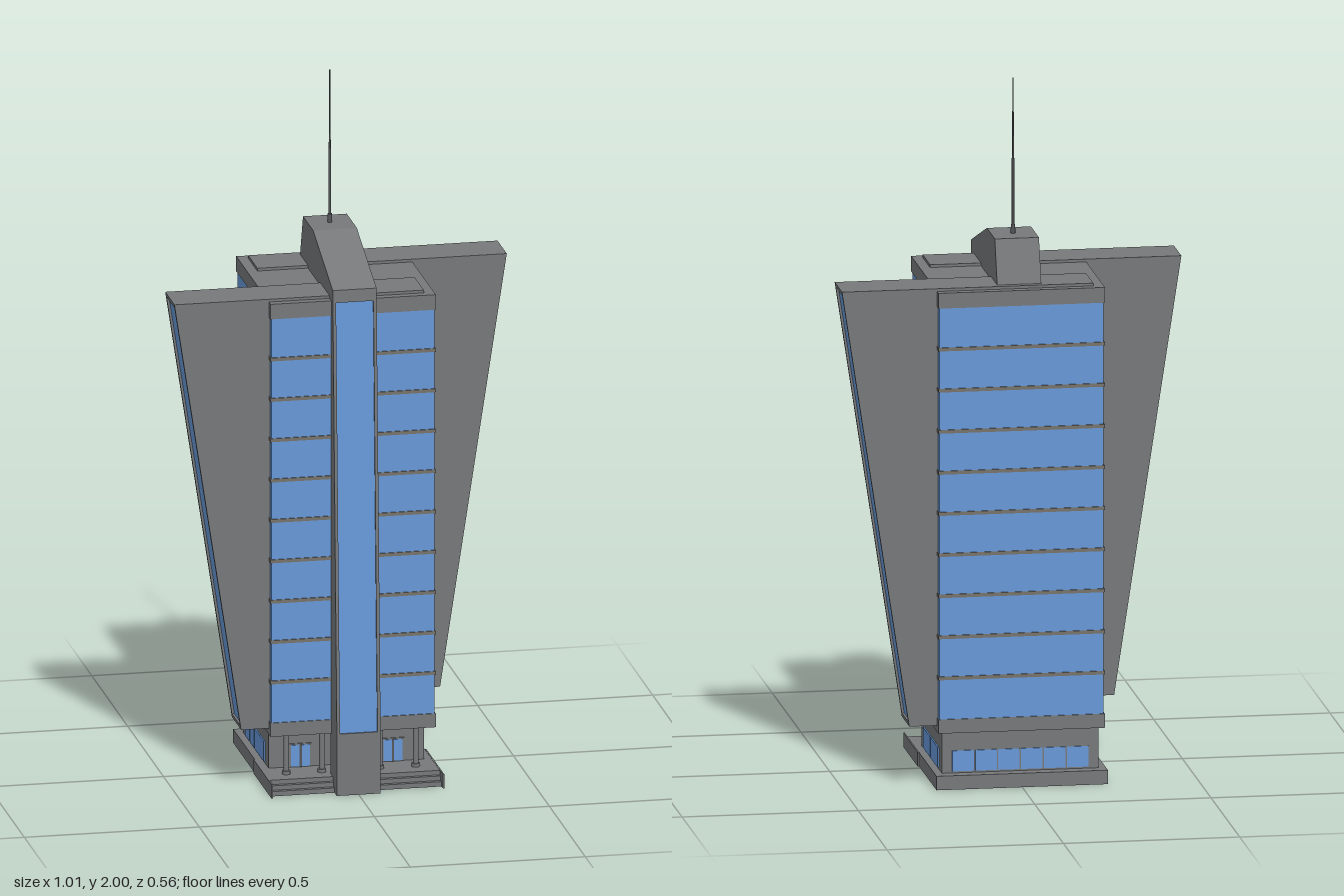
import * as THREE from 'three';

export function createModel() {
  const model = new THREE.Group();
  const mat = (name, color) => {
    const m = new THREE.MeshStandardMaterial({ color });
    m.name = name;
    return m;
  };
  const concrete = mat('concrete grey', 0x76787a);
  const glass = mat('window blue', 0x6798d8);
  const trim = mat('floor trim', 0x77736c);
  const metal = mat('dark metal', 0x55575a);

  const add = (parent, name, geometry, material) => {
    const mesh = new THREE.Mesh(geometry, material);
    mesh.name = name;
    parent.add(mesh);
    return mesh;
  };
  // Box given by its limits on each axis
  const box = (name, [x0, x1], [y0, y1], [z0, z1], material, parent = model) => {
    const mesh = add(parent, name, new THREE.BoxGeometry(x1 - x0, y1 - y0, z1 - z0), material);
    mesh.position.set((x0 + x1) / 2, (y0 + y1) / 2, (z0 + z1) / 2);
    return mesh;
  };
  // Outline in the xy plane, extruded from z0 to z1
  const slab = (name, points, z0, z1, material, parent) => {
    const shape = new THREE.Shape(points.map(([x, y]) => new THREE.Vector2(x, y)));
    const geometry = new THREE.ExtrudeGeometry(shape, { depth: z1 - z0, bevelEnabled: false });
    geometry.translate(0, 0, z0);
    return add(parent, name, geometry, material);
  };

  // Plinth with front steps and cheek walls
  box('plinth', [-0.243, 0.243], [0, 0.04], [-0.283, 0.226], concrete);
  box('upperStep', [-0.243, 0.243], [0, 0.027], [0.226, 0.238], concrete);
  box('lowerStep', [-0.243, 0.243], [0, 0.014], [0.238, 0.25], concrete);
  for (const s of [-1, 1]) {
    box('stepCheek', [s * 0.245 - 0.002, s * 0.245 + 0.002], [0, 0.041], [0.02, 0.27], concrete);
  }

  // Lobby with ribbon windows, entrance doors and porch columns
  box('lobby', [-0.222, 0.222], [0.04, 0.165], [-0.248, 0.11], concrete);
  for (const s of [-1, 1]) {
    for (let i = 0; i < 4; i++) {
      const z = -0.2 + i * 0.065;
      box('sideWindow', [s * 0.223 - 0.003, s * 0.223 + 0.003], [0.045, 0.104], [z + 0.002, z + 0.063], glass);
    }
    box('doorFrame', [s * 0.132 - 0.034, s * 0.132 + 0.034], [0.04, 0.108], [0.108, 0.113], concrete);
    for (const d of [-1, 1]) {
      const x = s * 0.132 + d * 0.015;
      box('doorPane', [x - 0.012, x + 0.012], [0.042, 0.104], [0.112, 0.115], glass);
    }
    box('doorPost', [s * 0.132 - 0.003, s * 0.132 + 0.003], [0.04, 0.104], [0.112, 0.117], metal);
    for (const x of [0.083, 0.185]) {
      add(model, 'porchColumn', new THREE.CylinderGeometry(0.008, 0.008, 0.125, 12), concrete)
        .position.set(s * x, 0.1025, 0.172);
      add(model, 'columnFoot', new THREE.CylinderGeometry(0.012, 0.012, 0.01, 12), concrete)
        .position.set(s * x, 0.045, 0.172);
    }
  }
  for (let i = 0; i < 6; i++) {
    const x = -0.195 + i * 0.065;
    box('backWindow', [x + 0.002, x + 0.063], [0.045, 0.104], [-0.251, -0.245], glass);
  }

  // Tower shaft: grey bands top and bottom, glass with floor lines between
  box('lowerBand', [-0.236, 0.236], [0.16, 0.2], [-0.274, 0.204], concrete);
  box('towerGlass', [-0.233, 0.233], [0.2, 1.38], [-0.271, 0.201], glass);
  box('roofBand', [-0.236, 0.236], [1.38, 1.424], [-0.274, 0.204], concrete);
  for (let i = 1; i <= 9; i++) {
    const y = 0.2 + i * 0.118;
    box('floorLine', [-0.236, 0.236], [y - 0.005, y + 0.005], [-0.274, 0.204], trim);
  }

  // Leaning side wings, each with a recessed glass strip on its outer edge
  const edgeX = (y) => 0.315 + (y - 0.178) * 0.152;
  const wingOutline = (y0, y1, inset) => [
    [-0.207, y0], [edgeX(y0) - inset, y0], [edgeX(y1) - inset, y1], [-0.207, y1],
  ];
  const makeWing = () => {
    const wing = new THREE.Group();
    slab('wingCore', wingOutline(0.19, 1.42, 0.012), -0.24, -0.13, concrete, wing);
    slab('wingRearCheek', wingOutline(0.178, 1.432, 0), -0.25, -0.24, concrete, wing);
    slab('wingFrontCheek', wingOutline(0.178, 1.432, 0), -0.13, -0.121, concrete, wing);
    slab('wingFoot', wingOutline(0.178, 0.19, 0), -0.24, -0.13, concrete, wing);
    slab('wingCap', wingOutline(1.42, 1.432, 0), -0.24, -0.13, concrete, wing);
    slab('wingGlass', [
      [edgeX(0.19) - 0.013, 0.19], [edgeX(0.19) - 0.007, 0.19],
      [edgeX(1.42) - 0.007, 1.42], [edgeX(1.42) - 0.013, 1.42],
    ], -0.24, -0.13, glass, wing);
    model.add(wing);
    return wing;
  };
  makeWing().name = 'leftWing';
  const rightWing = makeWing();
  rightWing.name = 'rightWing';
  rightWing.rotation.y = Math.PI;
  rightWing.position.z = -0.07;

  // Central spine: drawn in side profile, then turned to face the front
  const spine = new THREE.Group();
  spine.name = 'spine';
  spine.rotation.y = -Math.PI / 2;
  model.add(spine);
  const frontZ = (y) => 0.282 - Math.max(0, y - 0.18) * 0.0445;
  const crown = [[-0.05, 1.555], [-0.19, 1.555], [-0.235, 1.42]];
  const back = [[-0.235, 1.4], [0.19, 1.4], [0.19, 0]];
  const outline = [[0.282, 0], [0.282, 0.18], [frontZ(1.46), 1.46], ...crown, ...back];
  for (const s of [-1, 1]) {
    slab('spineCheek', outline, s * 0.058 - 0.0045, s * 0.058 + 0.0045, concrete, spine);
  }
  slab('spineCore', [
    [0.282, 0], [0.282, 0.18], [frontZ(0.18) - 0.01, 0.18], [frontZ(1.424) - 0.01, 1.424],
    [frontZ(1.424), 1.424], [frontZ(1.46), 1.46], ...crown, ...back,
  ], -0.0535, 0.0535, concrete, spine);
  slab('spineGlass', [
    [frontZ(0.18) - 0.011, 0.18], [frontZ(0.18) - 0.005, 0.18],
    [frontZ(1.424) - 0.005, 1.424], [frontZ(1.424) - 0.011, 1.424],
  ], -0.0535, 0.0535, glass, spine);

  // Rooftop mast
  const mast = (name, r0, r1, y0, y1) =>
    add(model, name, new THREE.CylinderGeometry(r1, r0, y1 - y0, 8), metal)
      .position.set(0, (y0 + y1) / 2, -0.122);
  mast('mastBase', 0.007, 0.006, 1.55, 1.58);
  mast('lowerMast', 0.004, 0.004, 1.58, 1.77);
  mast('upperMast', 0.003, 0.0015, 1.77, 2);

  return model;
}
